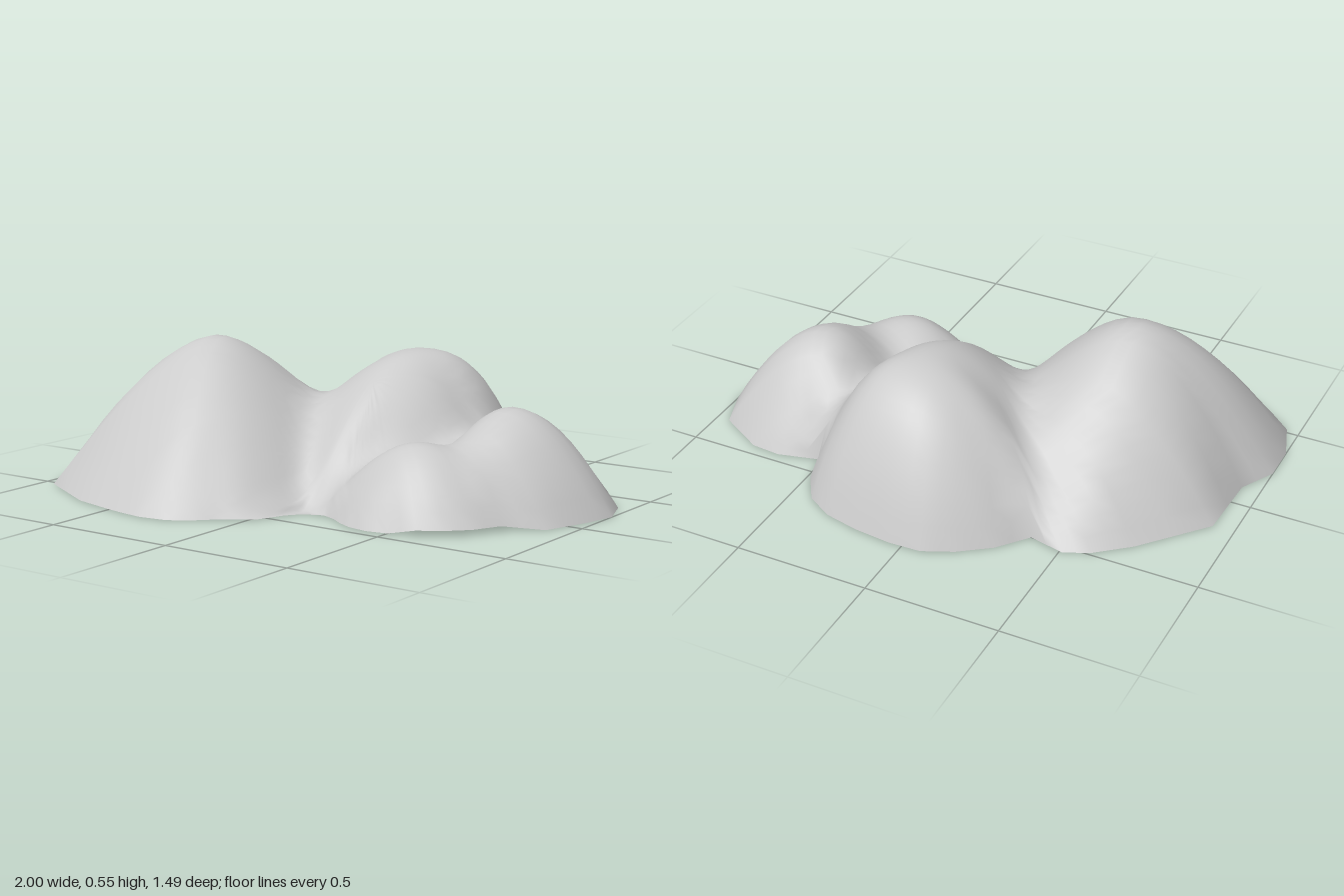
import * as THREE from 'three';

// Ground outline, counter-clockwise from above: x, z, optional lift of the rim
const OUTLINE = [
  [-1, 0.23], [-1, 0.37], [-0.95, 0.52], [-0.68, 0.67], [-0.5, 0.715], [-0.42, 0.73],
  [-0.34, 0.74], [-0.23, 0.725], [-0.15, 0.67], [-0.08, 0.6], [0.02, 0.53], [0.06, 0.43],
  [0.1, 0.38], [0.17, 0.35], [0.23, 0.375], [0.28, 0.41], [0.34, 0.44], [0.42, 0.455],
  [0.5, 0.44], [0.6, 0.42, 0.02], [0.68, 0.37, 0.02], [0.75, 0.3, 0.02], [0.8, 0.2, 0.02],
  [0.91, 0.09], [0.97, -0.08], [1, -0.21], [0.95, -0.35], [0.78, -0.45], [0.67, -0.46],
  [0.51, -0.42], [0.49, -0.53], [0.42, -0.64], [0.32, -0.7], [0.19, -0.73], [0.05, -0.745],
  [-0.07, -0.74], [-0.18, -0.69], [-0.29, -0.61], [-0.38, -0.5], [-0.51, -0.53], [-0.6, -0.49],
  [-0.72, -0.39], [-0.92, -0.16], [-0.93, 0.1],
];

// Hills: summit, height, reach towards neighbours and steepness by direction
const HILLS = [
  {
    x: -0.48, z: 0.12, h: 0.565,
    reach: (dx, dz) => 0.57 + 0.12 * dz * dz,
    power: (dx) => 1.45 + 0.25 * Math.max(0, -dx),
  },
  {
    x: 0.14, z: -0.28, h: 0.503,
    reach: (dx, dz) => 0.62 - 0.24 * Math.sqrt(Math.max(0, dx)) - 0.06 * Math.max(0, -dx) + 0.15 * Math.max(0, -dz),
    power: (dx, dz) => 1.85 + 1.2 * Math.max(0, -dz),
  },
  { x: 0.47, z: 0.21, h: 0.274, reach: () => 0.35, power: () => 1.9 },
  {
    x: 0.63, z: -0.13, h: 0.372,
    reach: (dx) => 0.42 + 0.1 * Math.min(0, dx),
    power: (dx) => 1.75 + 0.25 * Math.max(0, dx),
  },
];

// Distance from a point to the outline along a direction
function distanceToOutline(x, z, dx, dz) {
  let best = Infinity;
  OUTLINE.forEach(([ax, az], i) => {
    const [bx, bz] = OUTLINE[(i + 1) % OUTLINE.length];
    const ex = bx - ax, ez = bz - az;
    const det = dx * ez - dz * ex;
    if (Math.abs(det) < 1e-9) return;
    const along = ((ax - x) * ez - (az - z) * ex) / det;
    const onEdge = ((ax - x) * dz - (az - z) * dx) / det;
    if (along > 0 && onEdge >= -1e-6 && onEdge <= 1 + 1e-6) best = Math.min(best, along);
  });
  return best;
}

// Smooth maximum of all hills, each falling to 0 at the rim or at its reach
function heightAt(x, z) {
  let sum = 0;
  for (const hill of HILLS) {
    const d = Math.hypot(x - hill.x, z - hill.z);
    const dx = d > 1e-6 ? (x - hill.x) / d : 1;
    const dz = d > 1e-6 ? (z - hill.z) / d : 0;
    const limit = Math.min(distanceToOutline(hill.x, hill.z, dx, dz), hill.reach(dx, dz));
    const s = Math.min(1, d / limit);
    sum += (hill.h * (1 - s ** hill.power(dx, dz))) ** 7;
  }
  return sum ** (1 / 7);
}

// Height averaged over a small disc, which rounds summits and valleys
function softHeight(x, z, radius) {
  let sum = heightAt(x, z);
  for (let k = 0; k < 16; k++) {
    const a = (k / 8) * Math.PI * 2;
    const r = k < 8 ? radius : radius / 2;
    sum += heightAt(x + Math.cos(a) * r, z + Math.sin(a) * r);
  }
  return sum / 17;
}

export function createModel() {
  const SPLIT = 2, RINGS = 22, CX = 0.1, CZ = -0.05, BLUR = 0.065;

  // Subdivide the outline
  const rim = [];
  OUTLINE.forEach((a, i) => {
    const b = OUTLINE[(i + 1) % OUTLINE.length];
    for (let k = 0; k < SPLIT; k++) {
      const t = k / SPLIT;
      rim.push([0, 1, 2].map((c) => THREE.MathUtils.lerp(a[c] || 0, b[c] || 0, t)));
    }
  });

  // Rings of the surface, growing from the middle out to the rim
  const n = rim.length;
  const positions = [CX, softHeight(CX, CZ, BLUR), CZ];
  const index = [];
  for (let r = 1; r <= RINGS; r++) {
    const t = r / RINGS;
    rim.forEach(([rx, rz, lift], j) => {
      const x = CX + (rx - CX) * t;
      const z = CZ + (rz - CZ) * t;
      const toRim = Math.hypot(rx - x, rz - z);
      const y = r === RINGS ? 0 : softHeight(x, z, Math.min(BLUR, toRim * 0.6));
      positions.push(x, y + lift * t ** 4, z);
      const next = (j + 1) % n;
      const outer = 1 + (r - 1) * n;
      const inner = outer - n;
      if (r === 1) index.push(0, outer + j, outer + next);
      else index.push(inner + j, outer + j, outer + next, inner + j, outer + next, inner + next);
    });
  }

  const geometry = new THREE.BufferGeometry();
  geometry.setAttribute('position', new THREE.Float32BufferAttribute(positions, 3));
  geometry.setIndex(index);
  geometry.computeVertexNormals();

  const material = new THREE.MeshStandardMaterial({ color: 0xcccccc, side: THREE.DoubleSide });
  const hills = new THREE.Mesh(geometry, material);
  hills.name = 'hills';

  const group = new THREE.Group();
  group.name = 'hillCluster';
  group.add(hills);
  return group;
}
